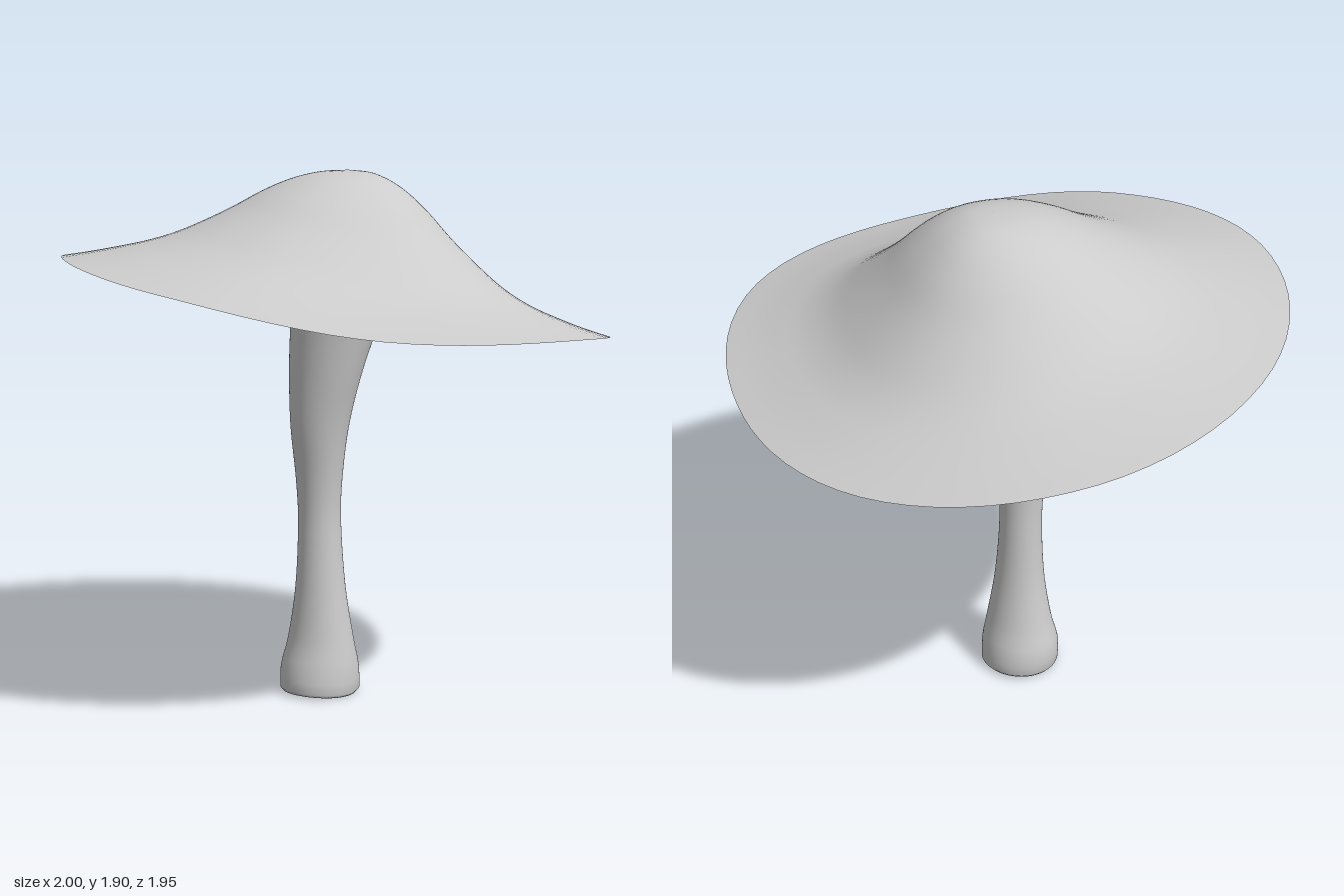
import * as THREE from 'three';

const SEG = 72;
const material = new THREE.MeshStandardMaterial({ color: 0xcccccc });

// Smooth curve through (t, values...) rows, sampled at any t
function sample(rows, t) {
  let i = 0;
  while (i < rows.length - 2 && t > rows[i + 1][0]) i++;
  const p = rows[Math.max(i - 1, 0)], a = rows[i], b = rows[i + 1], c = rows[Math.min(i + 2, rows.length - 1)];
  const h = b[0] - a[0], u = THREE.MathUtils.clamp((t - a[0]) / h, 0, 1);
  return a.slice(1).map((_, k) => {
    const m0 = (b[k + 1] - p[k + 1]) / (b[0] - p[0]) * h;
    const m1 = (c[k + 1] - a[k + 1]) / (c[0] - a[0]) * h;
    return (2 * u ** 3 - 3 * u * u + 1) * a[k + 1] + (u ** 3 - 2 * u * u + u) * m0
      + (3 * u * u - 2 * u ** 3) * b[k + 1] + (u ** 3 - u * u) * m1;
  });
}

// Periodic curve through equally spaced values around the circle
function around(values, angle) {
  const n = values.length, t = (angle / (2 * Math.PI)) * n, i = Math.floor(t), u = t - i;
  const [p, a, b, c] = [-1, 0, 1, 2].map((k) => values[(i + k + n) % n]);
  return a + 0.5 * u * (b - p + u * (2 * p - 5 * a + 4 * b - c + u * (3 * (a - b) + c - p)));
}

// Skin a stack of closed rings; point(row, angle) gives [x, y, z]
function loft(name, rowCount, point) {
  const pos = [], index = [];
  for (let j = 0; j < rowCount; j++) {
    for (let i = 0; i < SEG; i++) pos.push(...point(j, (i / SEG) * Math.PI * 2));
  }
  for (let j = 0; j < rowCount - 1; j++) {
    for (let i = 0; i < SEG; i++) {
      const a = j * SEG + i, b = j * SEG + (i + 1) % SEG;
      index.push(a, a + SEG, b, b, a + SEG, b + SEG);
    }
  }
  const geometry = new THREE.BufferGeometry();
  geometry.setAttribute('position', new THREE.Float32BufferAttribute(pos, 3));
  geometry.setIndex(index);
  geometry.computeVertexNormals();
  const mesh = new THREE.Mesh(geometry, material);
  mesh.name = name;
  return mesh;
}

// Cap rim: height and radius every 45 degrees from +x towards +z
const RIM_Y = [1.375, 1.412, 1.54, 1.612, 1.55, 1.425, 1.33, 1.318];
const RIM_R = [1.0, 0.985, 0.97, 0.98, 1.0, 0.99, 0.975, 0.94];
// Bell profile: distance from the peak, fraction of the rise
const BELL = [[0, 1], [0.1, 0.98], [0.2, 0.9], [0.3, 0.76], [0.4, 0.58], [0.5, 0.42],
  [0.6, 0.28], [0.7, 0.18], [0.8, 0.11], [0.9, 0.05], [1, 0]];
const PEAK_Z = -0.05;

function capPoint(r, angle, peak) {
  const rimR = around(RIM_R, angle), rimY = around(RIM_Y, angle);
  return [
    r * rimR * Math.cos(angle),
    rimY + (peak - rimY) * sample(BELL, r)[0],
    r * rimR * Math.sin(angle) + PEAK_Z * (1 - r),
  ];
}

// Stem rows: height, min x, max x, min z, max z
const STEM = [
  [0.02, -0.222, 0.068, -0.13, 0.165], [0.1, -0.225, 0.066, -0.125, 0.155],
  [0.2, -0.2, 0.05, -0.1, 0.13], [0.4, -0.167, 0.02, -0.07, 0.107],
  [0.65, -0.155, 0.002, -0.058, 0.097], [0.8, -0.16, 0.01, -0.06, 0.107],
  [1.0, -0.175, 0.04, -0.076, 0.133], [1.2, -0.184, 0.09, -0.107, 0.144],
  [1.4, -0.19, 0.145, -0.168, 0.15], [1.55, -0.205, 0.185, -0.2, 0.16],
  [1.64, -0.195, 0.175, -0.19, 0.15], [1.85, -0.15, 0.13, -0.16, 0.11],
];

function stemPoint(y, angle, scale = 1, lift = 0) {
  const [x0, x1, z0, z1] = sample(STEM, y);
  return [
    (x0 + x1) / 2 + scale * (x1 - x0) / 2 * Math.cos(angle),
    y + lift,
    (z0 + z1) / 2 + scale * (z1 - z0) / 2 * Math.sin(angle),
  ];
}

export function createModel() {
  const model = new THREE.Group();
  model.name = 'mushroom';
  const rows = 40;

  // Thin cap: upper skin and hollow underside meeting at the rim
  const cap = new THREE.Group();
  cap.name = 'cap';
  cap.add(loft('capTop', rows + 1, (j, a) => capPoint(1 - j / rows, a, 1.91)));
  cap.add(loft('capUnderside', rows + 1, (j, a) => capPoint(j / rows, a, 1.87)));
  model.add(cap);

  // Stem: dented foot with a rounded, slightly wavy edge, then the flaring shaft
  const foot = [[0, 0.05], [0.35, 0.045], [0.65, 0.022], [0.82, 0.002], [0.93, -0.012]];
  const shaft = 48;
  model.add(loft('stem', foot.length + shaft + 1, (j, a) => {
    const wave = 0.008 * (1 - Math.cos(2 * a)) / 2;
    if (j < foot.length) return stemPoint(0.02, a, foot[j][0], foot[j][1] + wave);
    const t = (j - foot.length) / shaft;
    return stemPoint(0.02 + 1.83 * t, a, 1, wave * Math.max(0, 1 - t * 10));
  }));
  return model;
}
